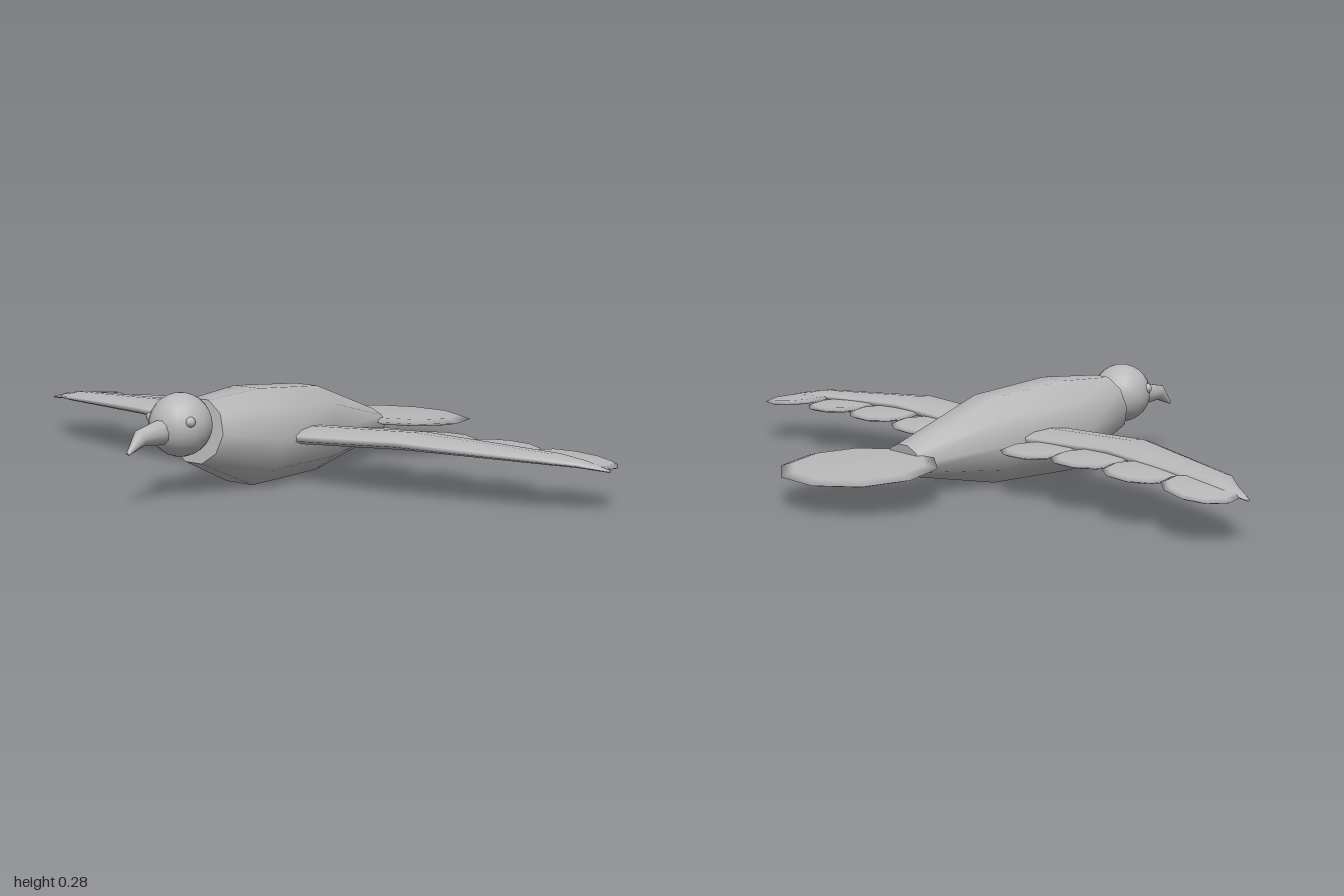
import * as THREE from 'three';

const SIDES = 10;

// Skin elliptical rings [centre, u axis, v axis]; the rings advance along u x v.
function loft(rings, sides = SIDES) {
  const pos = [], idx = [];
  const addRing = ([c, u, v]) => {
    const start = pos.length / 3;
    for (let j = 0; j < sides; j++) {
      const a = (j / sides) * Math.PI * 2;
      for (let k = 0; k < 3; k++) pos.push(c[k] + u[k] * Math.cos(a) + v[k] * Math.sin(a));
    }
    return start;
  };
  const starts = rings.map(addRing);
  for (let i = 0; i < rings.length - 1; i++) {
    for (let j = 0; j < sides; j++) {
      const k = (j + 1) % sides, a = starts[i], b = starts[i + 1];
      idx.push(a + j, a + k, b + j, a + k, b + k, b + j);
    }
  }
  // end caps with their own vertices so that the rims stay sharp
  for (const last of [false, true]) {
    const s = addRing(rings[last ? rings.length - 1 : 0]);
    for (let j = 1; j < sides - 1; j++) idx.push(s, s + (last ? j : j + 1), s + (last ? j + 1 : j));
  }
  const g = new THREE.BufferGeometry();
  g.setAttribute('position', new THREE.Float32BufferAttribute(pos, 3));
  g.setIndex(idx);
  g.computeVertexNormals();
  return g;
}

// Ring across z, given top and bottom as [z, y] and the half width
function zRing([tz, ty], [bz, by], w) {
  const f = 0.5 / Math.sin(Math.PI * 0.4);
  return [[0, (ty + by) / 2, (tz + bz) / 2], [w, 0, 0], [0, (ty - by) * f, (tz - bz) * f]];
}

// Thin lens-like ten-sided plate with a bevelled rim
function plateGeometry(rx, rz, h) {
  const profile = [[0, -h], [0.84, -h * 0.7], [1, 0], [0.84, h * 0.7], [0, h]];
  const g = new THREE.LatheGeometry(profile.map(([r, y]) => new THREE.Vector2(r, y)), SIDES, Math.PI / 2);
  return g.scale(rx, 1, rz);
}

export function createModel() {
  const model = new THREE.Group();
  const grey = new THREE.MeshStandardMaterial({ color: 0xb8b8b8 });
  grey.name = 'plain grey';
  const add = (name, geometry, parent = model) => {
    const mesh = new THREE.Mesh(geometry, grey);
    mesh.name = name;
    parent.add(mesh);
    return mesh;
  };

  // body, tail end to neck
  add('body', loft([
    zRing([-0.335, 0.14], [-0.33, 0.055], 0.07),
    zRing([-0.05, 0.242], [-0.045, 0.002], 0.125),
    zRing([0.21, 0.265], [0.24, 0.002], 0.148),
    zRing([0.4, 0.254], [0.43, 0.086], 0.092),
  ]));

  // head, eyes and hooked beak
  add('head', new THREE.SphereGeometry(0.085, 20, 14)).position.set(0, 0.196, 0.48);
  for (const s of [1, -1]) {
    add(s > 0 ? 'leftEye' : 'rightEye', new THREE.SphereGeometry(0.014, 12, 8))
      .position.set(s * 0.069, 0.214, 0.518);
  }
  add('beak', loft([
    zRing([0.53, 0.222], [0.53, 0.152], 0.032),
    zRing([0.575, 0.214], [0.57, 0.154], 0.029),
    zRing([0.645, 0.2], [0.625, 0.16], 0.02),
    zRing([0.685, 0.147], [0.678, 0.141], 0.005),
  ]));

  // wing sections: x, y, z, half height, half chord
  const sections = [
    [0.09, 0.128, 0.085, 0.024, 0.093],
    [0.46, 0.148, 0.073, 0.022, 0.087],
    [0.85, 0.134, 0.004, 0.013, 0.056],
    [0.92, 0.125, -0.022, 0.009, 0.032],
    [0.995, 0.112, -0.036, 0.003, 0.006],
  ];
  // flight feathers: x, y, z, half width, half length, roll
  const feathers = [
    [0.245, 0.126, -0.06, 0.115, 0.1, 0.03],
    [0.45, 0.134, -0.06, 0.115, 0.1, 0],
    [0.655, 0.132, -0.065, 0.115, 0.1, -0.04],
    [0.87, 0.124, -0.075, 0.118, 0.09, -0.1],
  ];
  for (const s of [1, -1]) {
    const wing = new THREE.Group();
    wing.name = s > 0 ? 'leftWing' : 'rightWing';
    model.add(wing);
    const rings = sections.map(([x, y, z, h, c]) => [[s * x, y, z], [0, h, 0], [0, 0, c]]);
    add('wingArm', loft(s > 0 ? rings : rings.reverse()), wing);
    feathers.forEach(([x, y, z, rx, rz, roll], i) => {
      const feather = add('feather' + (i + 1), plateGeometry(rx, rz, 0.01), wing);
      feather.position.set(s * x, y, z);
      feather.rotation.set(-0.04, i === 3 ? s * 0.15 : 0, s * roll);
    });
  }

  // broad tail fan, drooping slightly backwards
  const tail = add('tail', plateGeometry(0.226, 0.212, 0.014));
  tail.position.set(0, 0.098, -0.484);
  tail.rotation.x = -0.06;

  return model;
}
